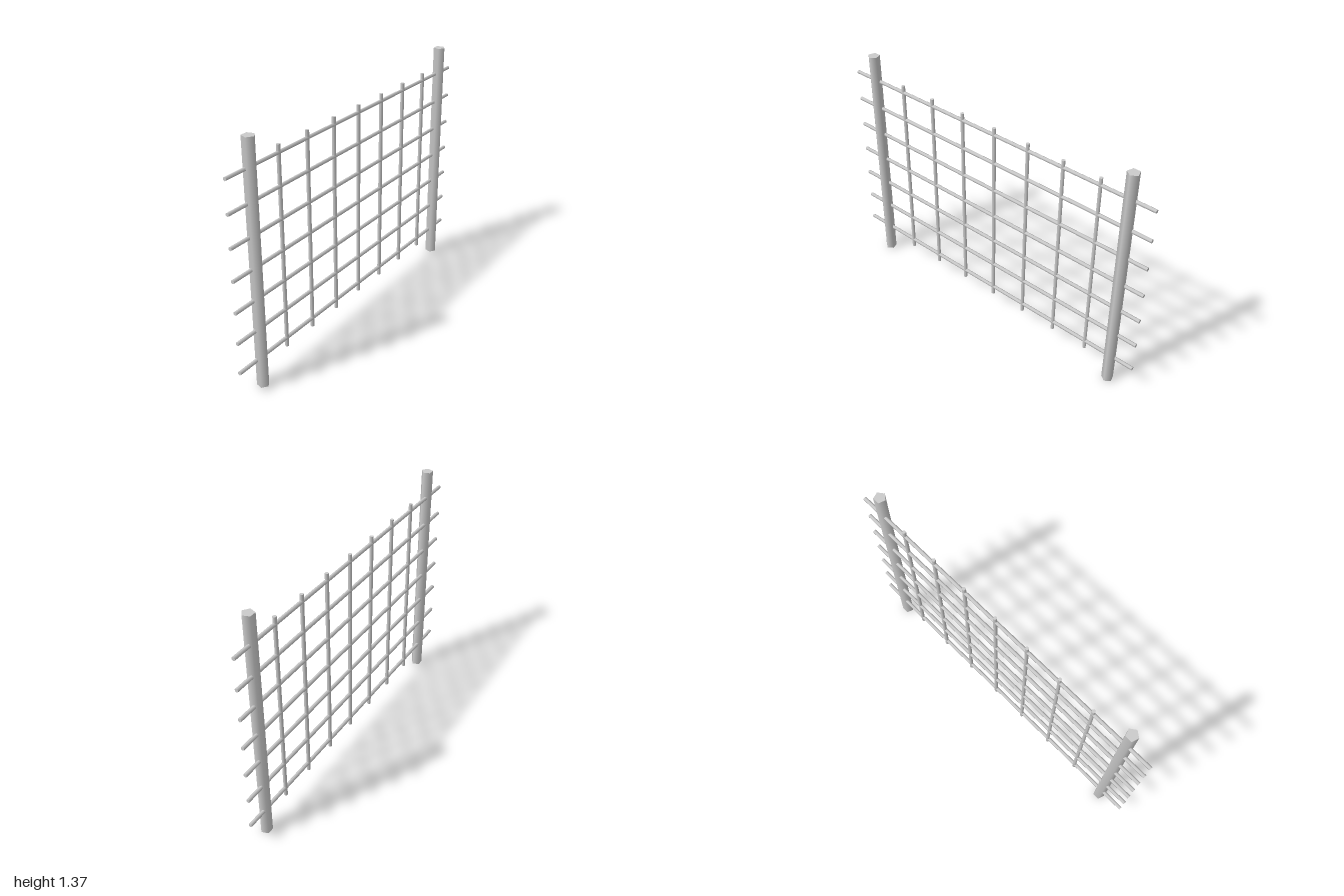
import * as THREE from 'three';

export function createModel() {
  const group = new THREE.Group();
  group.name = 'gridFence';
  const material = new THREE.MeshStandardMaterial({ color: 0xcccccc });
  const barX = -0.013; // both bar layers lie in one plane

  const add = (name, geometry, x, y, z) => {
    const mesh = new THREE.Mesh(geometry, material);
    mesh.name = name;
    mesh.position.set(x, y, z);
    group.add(mesh);
  };

  // Two five-sided posts, one corner pointing to +x
  const postGeometry = new THREE.CylinderGeometry(0.0335, 0.0335, 1.365, 5).rotateY(Math.PI / 2);
  add('frontPost', postGeometry, -0.003, 0.6825, 0.843);
  add('backPost', postGeometry, -0.003, 0.6825, -0.863);

  // Seven long rails running through the posts
  const railGeometry = new THREE.CylinderGeometry(0.0105, 0.0105, 2, 6).rotateX(Math.PI / 2);
  for (let i = 0; i < 7; i++) add(`rail${i + 1}`, railGeometry, barX, 0.161 + i * 0.1743, 0);

  // Seven upright bars between the posts
  const barGeometry = new THREE.CylinderGeometry(0.0105, 0.0105, 1.14, 6);
  for (let i = 0; i < 7; i++) add(`uprightBar${i + 1}`, barGeometry, barX, 0.68, 0.631 - i * 0.2202);

  return group;
}
